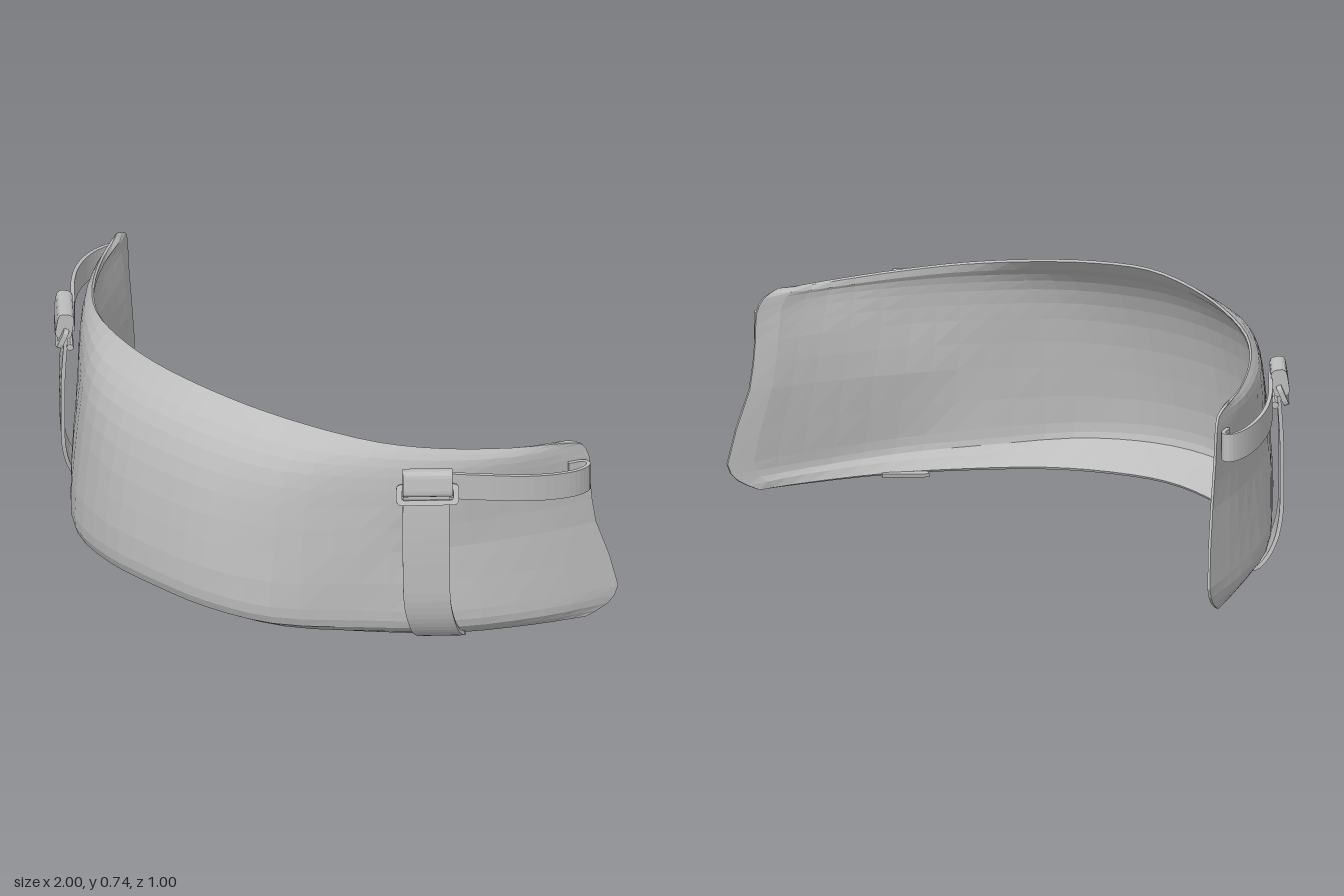
import * as THREE from 'three';

const grey = new THREE.MeshStandardMaterial({ color: 0xbdbdbd, flatShading: true, side: THREE.DoubleSide });
grey.name = 'plain grey';

const V = (x, y, z) => new THREE.Vector3(x, y, z);
const spline = (pts) => new THREE.CatmullRomCurve3(pts);

// Skin closed rings of points, with strip caps at both ends
function loft(rings) {
  const n = rings[0].length, pos = [], idx = [];
  rings.forEach((r) => r.forEach((p) => pos.push(p.x, p.y, p.z)));
  for (let i = 0; i < rings.length - 1; i++) {
    for (let j = 0; j < n; j++) {
      const k = (j + 1) % n;
      const a = i * n + j, b = a + n, c = (i + 1) * n + k, d = i * n + k;
      idx.push(a, b, c, a, c, d);
    }
  }
  const last = (rings.length - 1) * n;
  for (let j = 0; j < n / 2 - 1; j++) {
    const a = j, b = j + 1, c = n - 2 - j, d = n - 1 - j;
    idx.push(a, b, c, a, c, d);
    idx.push(last + a, last + c, last + b, last + a, last + d, last + c);
  }
  const g = new THREE.BufferGeometry();
  g.setAttribute('position', new THREE.Float32BufferAttribute(pos, 3));
  g.setIndex(idx);
  g.computeVertexNormals();
  return g;
}

// Flat strap along a smooth path; width is a vector across it
function strapGeometry(points, width, thick, steps) {
  const curve = spline(points), rings = [];
  for (let i = 0; i <= steps; i++) {
    const p = curve.getPoint(i / steps), t = curve.getTangent(i / steps);
    const n = t.cross(width).normalize().multiplyScalar(thick / 2);
    const at = (w, s) => p.clone().addScaledVector(width, w).addScaledVector(n, s);
    rings.push([at(-0.5, 1), at(0.5, 1), at(0.5, -1), at(-0.5, -1)]);
  }
  return loft(rings);
}

// Copy of a geometry on the other side, with its faces turned the right way
function mirrored(geometry) {
  const g = geometry.index ? geometry.toNonIndexed() : geometry.clone();
  g.scale(-1, 1, 1);
  const p = g.attributes.position, a = V(0, 0, 0), b = V(0, 0, 0);
  for (let i = 0; i < p.count; i += 3) {
    a.fromBufferAttribute(p, i + 1);
    b.fromBufferAttribute(p, i + 2);
    p.setXYZ(i + 1, b.x, b.y, b.z);
    p.setXYZ(i + 2, a.x, a.y, a.z);
  }
  g.computeVertexNormals();
  return g;
}

// Height at the middle and at the end for each level, bottom to top
const heights = [[0.045, 0], [0.115, 0.035], [0.18, 0.09], [0.34, 0.32], [0.5, 0.47], [0.61, 0.555], [0.68, 0.6], [0.735, 0.62]];
// Plan of each level, x and z from the middle to the end
const plans = [
  [0, 0.37, 0.2, 0.34, 0.4, 0.26, 0.6, 0.1, 0.75, -0.06, 0.88, -0.27, 0.95, -0.41],
  [0, 0.485, 0.2, 0.465, 0.4, 0.385, 0.6, 0.19, 0.77, -0.01, 0.91, -0.27, 0.985, -0.47],
  [0, 0.5, 0.2, 0.48, 0.4, 0.4, 0.6, 0.2, 0.77, 0, 0.91, -0.27, 1, -0.5],
  [0, 0.485, 0.2, 0.465, 0.4, 0.38, 0.59, 0.2, 0.74, 0, 0.88, -0.25, 0.96, -0.445],
  [0, 0.455, 0.2, 0.435, 0.4, 0.355, 0.58, 0.19, 0.73, 0.02, 0.87, -0.23, 0.955, -0.425],
  [0, 0.415, 0.2, 0.395, 0.4, 0.325, 0.58, 0.175, 0.73, 0.015, 0.87, -0.21, 0.955, -0.42],
  [0, 0.365, 0.2, 0.345, 0.4, 0.28, 0.58, 0.15, 0.73, 0, 0.865, -0.2, 0.945, -0.4],
  [0, 0.295, 0.2, 0.27, 0.4, 0.205, 0.58, 0.11, 0.72, -0.02, 0.85, -0.2, 0.93, -0.35],
];

function shellGeometry() {
  const levels = plans.map((plan, k) => {
    const half = [], end = plan[12];
    const [y0, y1] = heights[k];
    for (let i = 0; i < 14; i += 2) {
      half.push(V(plan[i], y0 + (y1 - y0) * Math.pow(plan[i] / end, 1.5), plan[i + 1]));
    }
    const other = half.slice(1).reverse().map((p) => V(-p.x, p.y, p.z));
    return spline([...other, ...half]);
  });
  const across = 36, up = 14, grid = [];
  for (let i = 0; i <= across; i++) {
    grid.push(spline(levels.map((c) => c.getPoint(i / across))).getPoints(up));
  }
  // The inside face is the outside face moved in along its normal
  const rings = grid.map((column, i) => {
    const inner = column.map((p, j) => {
      const du = grid[Math.min(i + 1, across)][j].clone().sub(grid[Math.max(i - 1, 0)][j]);
      const dv = column[Math.min(j + 1, up)].clone().sub(column[Math.max(j - 1, 0)]);
      const edge = j === 0 || j === up || i === 0 || i === across;
      return p.clone().addScaledVector(du.cross(dv).normalize(), edge ? -0.008 : -0.02);
    });
    inner.forEach((p) => { p.y = Math.max(p.y, 0); });
    return [...column, ...inner.reverse()];
  });
  return loft(rings);
}

function roundedRect(target, w, h, r) {
  const x = w / 2, y = h / 2;
  target.moveTo(-x + r, -y).lineTo(x - r, -y).quadraticCurveTo(x, -y, x, -y + r)
    .lineTo(x, y - r).quadraticCurveTo(x, y, x - r, y)
    .lineTo(-x + r, y).quadraticCurveTo(-x, y, -x, y - r)
    .lineTo(-x, -y + r).quadraticCurveTo(-x, -y, -x + r, -y);
  return target;
}

// Buckle parts are shaped facing +z, then turned to face diagonally outward
function placeBuckle(g, y, tilt, out) {
  g.rotateX(tilt);
  g.translate(0, y, out);
  g.rotateY(Math.PI / 4);
  g.translate(0.74, 0, 0.065);
  return g;
}

function sideParts() {
  const frameShape = roundedRect(new THREE.Shape(), 0.19, 0.065, 0.018);
  frameShape.holes.push(roundedRect(new THREE.Path(), 0.155, 0.034, 0.008));
  const frame = new THREE.ExtrudeGeometry(frameShape, { depth: 0.016, bevelEnabled: false, curveSegments: 3 });
  const foldShape = roundedRect(new THREE.Shape(), 0.05, 0.085, 0.022);
  const fold = new THREE.ExtrudeGeometry(foldShape, { depth: 0.15, bevelEnabled: false, curveSegments: 4 });
  fold.translate(0, 0, -0.075);
  fold.rotateY(Math.PI / 2);
  const bar = new THREE.CylinderGeometry(0.011, 0.011, 0.17, 8);
  bar.rotateZ(Math.PI / 2);
  return {
    uprightStrap: strapGeometry([
      V(0.742, 0.58, 0.07), V(0.748, 0.42, 0.08), V(0.75, 0.28, 0.08), V(0.75, 0.17, 0.075),
      V(0.748, 0.1, 0.055), V(0.74, 0.05, 0.025), V(0.73, 0.022, -0.01), V(0.7, 0.014, -0.03),
    ], V(0.1, 0, -0.1), 0.012, 24),
    rearStrap: strapGeometry([
      V(0.735, 0.57, 0.05), V(0.78, 0.56, 0), V(0.86, 0.55, -0.085), V(0.93, 0.535, -0.18),
      V(0.975, 0.52, -0.28), V(0.987, 0.51, -0.35), V(0.978, 0.507, -0.393), V(0.958, 0.508, -0.395), V(0.935, 0.51, -0.35),
    ], V(0, 0.086, 0), 0.012, 28),
    buckleFold: placeBuckle(fold, 0.588, -0.15, 0.012),
    buckleFrame: placeBuckle(frame, 0.548, -0.4, 0.012),
    buckleBar: placeBuckle(bar, 0.522, 0, -0.004),
  };
}

export function createModel() {
  const model = new THREE.Group();
  model.name = 'curvedGuard';
  const add = (parent, name, geometry) => {
    const mesh = new THREE.Mesh(geometry, grey);
    mesh.name = name;
    parent.add(mesh);
  };
  add(model, 'shell', shellGeometry());

  // Straps and buckles on both sides
  const left = new THREE.Group(), right = new THREE.Group();
  left.name = 'leftStraps';
  right.name = 'rightStraps';
  for (const [name, geometry] of Object.entries(sideParts())) {
    add(left, name, geometry);
    add(right, name, mirrored(geometry));
  }
  model.add(left, right);
  return model;
}
